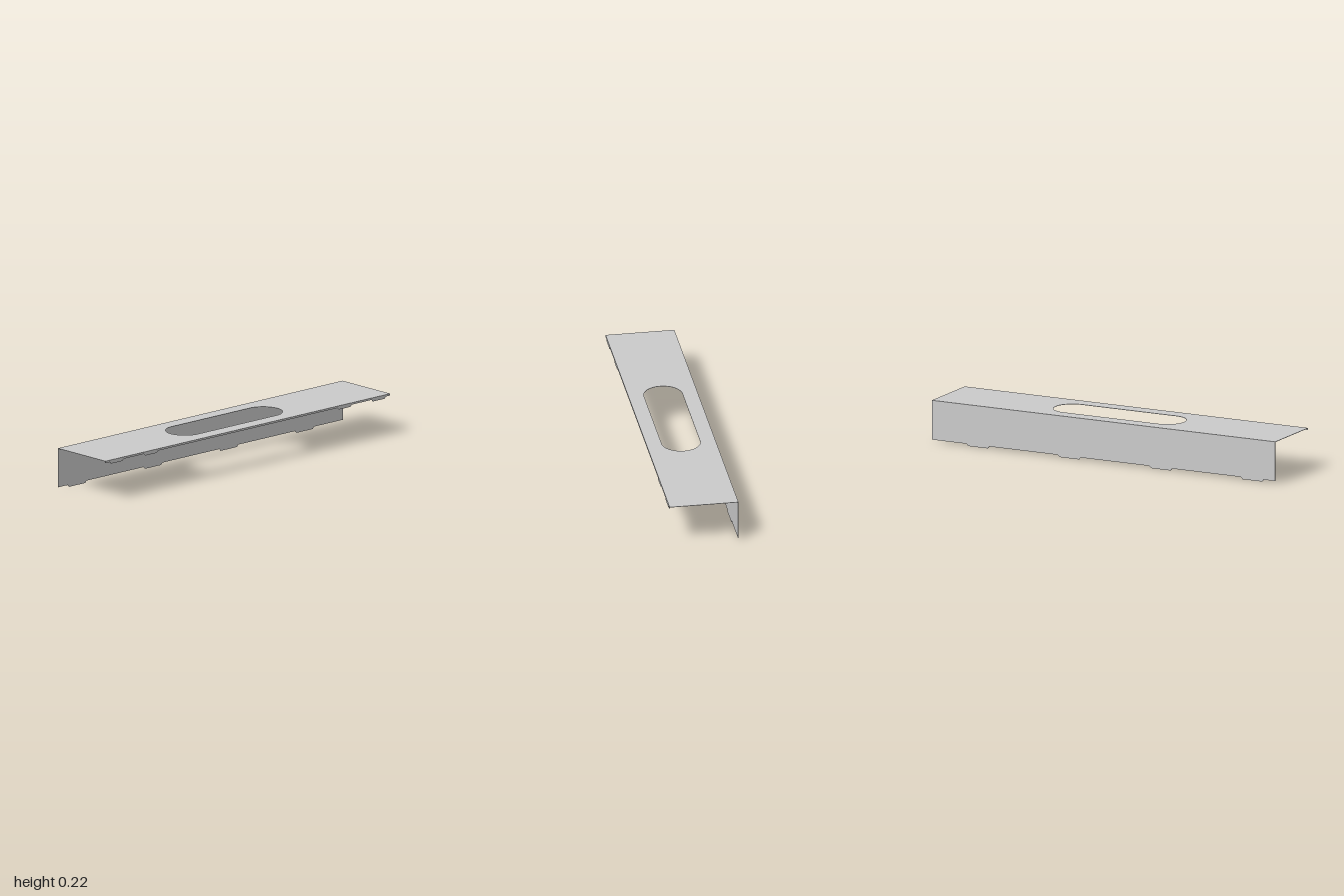
import * as THREE from 'three';

const HALF_X = 1, HALF_Z = 0.179, TOP = 0.218, T = 0.002;
const material = new THREE.MeshStandardMaterial({ color: 0xcccccc, side: THREE.DoubleSide });

// Upright sheet whose lower edge carries chamfered tabs, listed by left end
function tabbedSheet(name, edgeY, tabY, tabStarts, tabWidth, z) {
  const c = 0.01;
  const shape = new THREE.Shape();
  shape.moveTo(-HALF_X, TOP - T);
  shape.lineTo(-HALF_X, edgeY);
  for (const x of tabStarts) {
    shape.lineTo(x, edgeY);
    shape.lineTo(x + c, tabY);
    shape.lineTo(x + tabWidth - c, tabY);
    shape.lineTo(x + tabWidth, edgeY);
  }
  shape.lineTo(HALF_X, edgeY);
  shape.lineTo(HALF_X, TOP - T);
  shape.closePath();
  const geometry = new THREE.ExtrudeGeometry(shape, { depth: T, bevelEnabled: false });
  geometry.translate(0, 0, z);
  const mesh = new THREE.Mesh(geometry, material);
  mesh.name = name;
  return mesh;
}

// Flat top sheet with a rounded slot through its middle
function topPlate() {
  const shape = new THREE.Shape();
  shape.moveTo(-HALF_X, -HALF_Z);
  shape.lineTo(HALF_X, -HALF_Z);
  shape.lineTo(HALF_X, HALF_Z);
  shape.lineTo(-HALF_X, HALF_Z);
  shape.closePath();

  const r = 0.1, cx = 0.275;
  const slot = new THREE.Path();
  slot.absarc(cx, 0, r, Math.PI / 2, -Math.PI / 2, true);
  slot.absarc(-cx, 0, r, -Math.PI / 2, -Math.PI * 1.5, true);
  slot.closePath();
  shape.holes.push(slot);

  const geometry = new THREE.ExtrudeGeometry(shape, { depth: T, bevelEnabled: false, curveSegments: 24 });
  geometry.rotateX(Math.PI / 2).translate(0, TOP, 0);
  const mesh = new THREE.Mesh(geometry, material);
  mesh.name = 'topPlate';
  return mesh;
}

export function createModel() {
  const group = new THREE.Group();
  group.name = 'slottedBracket';
  group.add(
    topPlate(),
    tabbedSheet('backWall', 0.011, 0, [-0.933, -0.4, 0.133, 0.665], 0.133, -HALF_Z),
    tabbedSheet('frontLip', 0.208, 0.198, [-0.97, -0.73, 0.63, 0.87], 0.1, HALF_Z - T),
  );
  return group;
}
